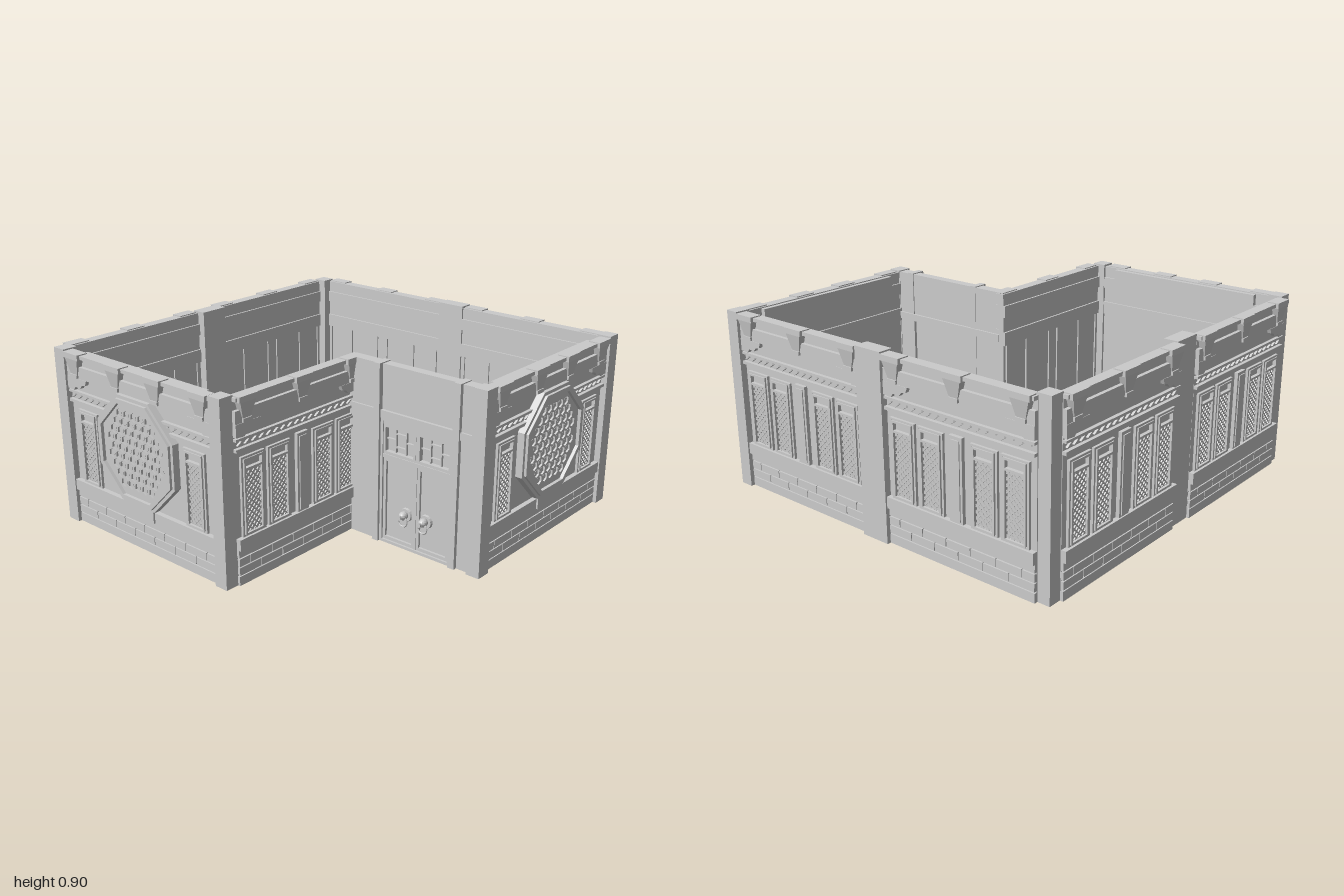
import * as THREE from 'three';
import { mergeGeometries } from 'three/addons/utils/BufferGeometryUtils.js';

const mat = new THREE.MeshStandardMaterial({ color: 0xcccccc, flatShading: true });

// Box geometry from min/max extents
function bg(x0, x1, y0, y1, z0, z1) {
  return new THREE.BoxGeometry(x1 - x0, y1 - y0, z1 - z0)
    .translate((x0 + x1) / 2, (y0 + y1) / 2, (z0 + z1) / 2);
}

// Merge several geometries into one named mesh
function part(parent, name, geos) {
  const plain = geos.map(g => (g.index ? g.toNonIndexed() : g));
  const mesh = new THREE.Mesh(mergeGeometries(plain), mat);
  mesh.name = name;
  parent.add(mesh);
  return mesh;
}

// Points of a regular polygon given its corner radius
function polygon(n, r, turn, cx = 0, cy = 0) {
  return Array.from({ length: n }, (_, i) => {
    const a = turn + (i / n) * Math.PI * 2;
    return new THREE.Vector2(cx + r * Math.cos(a), cy + r * Math.sin(a));
  });
}
const octagon = apothem => polygon(8, apothem / Math.cos(Math.PI / 8), Math.PI / 8);

function plate(points, holes, z0, z1) {
  const s = new THREE.Shape(points);
  s.holes = holes.map(h => new THREE.Path(h));
  return new THREE.ExtrudeGeometry(s, { depth: z1 - z0, bevelEnabled: false }).translate(0, 0, z0);
}

// Four bars around a rectangle
function frame(x0, x1, y0, y1, t, z0, z1) {
  return [bg(x0, x0 + t, y0, y1, z0, z1), bg(x1 - t, x1, y0, y1, z0, z1),
    bg(x0 + t, x1 - t, y0, y0 + t, z0, z1), bg(x0 + t, x1 - t, y1 - t, y1, z0, z1)];
}

// Crossed diagonal bars clipped to a rectangle of half sizes a, b
function lattice(cx, cy, a, b, z) {
  const out = [];
  for (let c = -a - b + 0.015; c < a + b; c += 0.028) {
    const lo = Math.max(-a, -b - c), hi = Math.min(a, b - c);
    if (hi - lo < 0.004) continue;
    for (const s of [1, -1]) {
      const m = (lo + hi) / 2;
      out.push(new THREE.BoxGeometry((hi - lo) * Math.SQRT2, 0.006, 0.006)
        .rotateZ(s * Math.PI / 4).translate(cx + s * m, cy + m + c, z));
    }
  }
  return out;
}

function latticeWindow(g, u, w) {
  const a = w / 2;
  part(g, 'windowFrame', [
    ...frame(u - a, u + a, 0.23, 0.61, 0.01, 0.03, 0.045),
    ...frame(u - a + 0.014, u + a - 0.014, 0.235, 0.6, 0.01, 0.03, 0.05),
    bg(u - a + 0.014, u + a - 0.014, 0.545, 0.555, 0.03, 0.05)]);
  part(g, 'windowLattice', lattice(u, 0.395, a - 0.024, 0.15, 0.037));
}

// Eave bracket: flared block with a cap
function bracket(g, u) {
  const flare = new THREE.CylinderGeometry(0.046, 0.022, 0.085, 4, 1)
    .rotateY(Math.PI / 4).scale(1.5, 1, 0.8).translate(u, 0.83, 0.042);
  part(g, 'eaveBracket', [bg(u - 0.055, u + 0.055, 0.868, 0.895, 0.01, 0.07), flare,
    bg(u - 0.026, u + 0.026, 0.772, 0.79, 0.02, 0.06)]);
}

// Carved corner piece under the upper beam
function spandrel(side, h) {
  const pts = [[0, 0.77], [0, 0.71], [0.05, 0.706], [0.065, 0.725], [0.1, 0.722], [0.115, 0.74], [0.14, 0.745], [0.15, 0.77]]
    .map(([x, y]) => new THREE.Vector2(side * (x - h), y));
  return plate(pts, [], 0.03, 0.052);
}

// Wall shared by all sides: local +z is outward, inner face at z = 0
function wall(root, name, len, x, z, turn, brackets) {
  const g = new THREE.Group(), h = len / 2;
  g.name = name;
  g.position.set(x, 0, z);
  g.rotation.y = turn;
  root.add(g);
  part(g, 'wallPanel', [bg(-h, h, 0, 0.885, 0, 0.032)]);
  // Stone base with two courses of blocks, on both faces
  const base = [bg(-h, h, 0, 0.045, -0.012, 0.045), bg(-h, h, 0.137, 0.175, -0.012, 0.045)];
  const n = Math.round(len / 0.143), bw = len / n;
  for (let row = 0; row < 2; row++) {
    const y = 0.05 + row * 0.043;
    for (let i = 0; i < n + row; i++) {
      const a = Math.max(-h, -h + (i - row / 2) * bw), b = Math.min(h, -h + (i + 1 - row / 2) * bw);
      base.push(bg(a + 0.002, b - 0.002, y, y + 0.038, -0.012, 0.045));
    }
  }
  part(g, 'stoneBase', base);
  part(g, 'sill', [bg(-h, h, 0.175, 0.23, -0.008, 0.057)]);
  part(g, 'beams', [bg(-h, h, 0.64, 0.655, 0, 0.05), bg(-h, h, 0.69, 0.702, 0, 0.05),
    bg(-h, h, 0.77, 0.83, 0, 0.05), bg(-h, h, 0.872, 0.89, 0, 0.056)]);
  part(g, 'cornerCarvings', [spandrel(1, h), spandrel(-1, h)]);
  part(g, 'innerRails', [bg(-h, h, 0.62, 0.69, -0.01, 0), bg(-h, h, 0.77, 0.83, -0.01, 0)]);
  // Slanted slats of the frieze
  const slats = [];
  for (let u = -h + 0.03; u < h - 0.02; u += 0.045) {
    slats.push(new THREE.BoxGeometry(0.03, 0.007, 0.014).rotateZ(0.6).translate(u, 0.672, 0.036));
  }
  part(g, 'frieze', slats);
  brackets.forEach(u => bracket(g, u));
  return g;
}

function windowWall(root, len, x, z, turn) {
  const g = wall(root, 'latticeWall', len, x, z, turn, [-0.35, 0, 0.35]);
  for (const u of [-0.312, -0.148, 0.148, 0.312]) latticeWindow(g, u, 0.145);
  part(g, 'middlePost', [bg(-0.036, 0.036, 0.23, 0.62, 0.03, 0.05), bg(-0.024, 0.024, 0.24, 0.605, 0.05, 0.055)]);
  part(g, 'innerBattens', [-0.39, -0.23, -0.036, 0.036, 0.23, 0.39].map(u => bg(u - 0.008, u + 0.008, 0.23, 0.62, -0.008, 0)));
}

function octagonWall(root, len, x, z, turn) {
  const g = wall(root, 'octagonWindowWall', len, x, z, turn, [-0.44, -0.135, 0.142, 0.438]);
  for (const u of [-0.375, 0.375]) latticeWindow(g, u, 0.14);
  part(g, 'sillBlock', [bg(-0.1, 0.1, 0.178, 0.245, 0.03, 0.066)]);
  part(g, 'innerTopRail', [bg(-0.425, 0.425, 0.83, 0.885, -0.024, 0)]);
  // Honeycomb screen inside a stepped octagonal frame
  const holes = [], p = 0.05, apothem = 0.226;
  for (let r = -6; r <= 6; r++) {
    for (let c = -6; c <= 6; c++) {
      const hx = (c + (r & 1) / 2) * p, hy = r * p * 0.866;
      const reach = Math.max(Math.abs(hx), Math.abs(hy), (Math.abs(hx) + Math.abs(hy)) / Math.SQRT2);
      if (reach < apothem - 0.026) holes.push(polygon(6, 0.0235, Math.PI / 6, hx, hy));
    }
  }
  const win = new THREE.Group();
  win.name = 'octagonWindow';
  win.position.y = 0.503;
  g.add(win);
  part(win, 'backPlate', [plate(octagon(0.23), [], 0.03, 0.054)]);
  part(win, 'honeycomb', [plate(octagon(0.23), holes, 0.054, 0.064)]);
  part(win, 'honeycombStuds', holes.map(hex => {
    const cx = hex.reduce((s, v) => s + v.x, 0) / 6, cy = hex.reduce((s, v) => s + v.y, 0) / 6;
    return plate(polygon(6, 0.014, Math.PI / 6, cx, cy), [], 0.054, 0.06);
  }));
  part(win, 'octagonFrame', [plate(octagon(0.266), [octagon(0.244)], 0.03, 0.068),
    plate(octagon(0.25), [octagon(0.227)], 0.03, 0.081)]);
}

function doorWall(root) {
  const g = new THREE.Group();
  g.name = 'doorWall';
  root.add(g);
  part(g, 'doorWallPanels', [bg(0.19, 0.36, 0, 0.895, 0.088, 0.146), bg(0.835, 0.91, 0, 0.895, 0.088, 0.146),
    bg(0.385, 0.81, 0.64, 0.895, 0.09, 0.14)]);
  part(g, 'doorPosts', [bg(0.355, 0.39, 0, 0.9, 0.085, 0.165), bg(0.805, 0.84, 0, 0.9, 0.085, 0.165)]);
  part(g, 'doorBeam', [bg(0.195, 0.91, 0.637, 0.674, 0.078, 0.156)]);
  part(g, 'doorFrame', frame(0.39, 0.805, -0.01 + 0.01, 0.637, 0.014, 0.1, 0.152));
  part(g, 'transomRails', [bg(0.39, 0.805, 0.44, 0.458, 0.1, 0.15), bg(0.39, 0.805, 0.607, 0.625, 0.1, 0.15)]);
  for (const s of [-1, 1]) {
    const c = 0.5975 + s * 0.1, a = 0.096;
    part(g, 'doorLeaf', [bg(c - a, c + a, 0.012, 0.44, 0.1, 0.13), ...frame(c - a, c + a, 0.012, 0.44, 0.018, 0.125, 0.142)]);
    // Small window over each leaf
    const bars = [bg(c - a, c + a, 0.455, 0.61, 0.1, 0.122), ...frame(c - a, c + a, 0.458, 0.607, 0.014, 0.12, 0.146)];
    for (const k of [-1, 1]) {
      bars.push(bg(c + k * 0.03 - 0.003, c + k * 0.03 + 0.003, 0.472, 0.593, 0.12, 0.134),
        bg(c + k * 0.055 - 0.027, c + k * 0.055 + 0.027, 0.53, 0.536, 0.12, 0.134));
    }
    bars.push(bg(c - 0.03, c + 0.03, 0.563, 0.569, 0.12, 0.134), bg(c - 0.03, c + 0.03, 0.497, 0.503, 0.12, 0.134));
    part(g, 'transomWindow', bars);
    // Knocker: round plate, boss and hanging ring
    const kx = 0.5975 + s * 0.058;
    part(g, 'doorKnocker', [
      new THREE.CylinderGeometry(0.032, 0.034, 0.014, 16).rotateX(Math.PI / 2).translate(kx, 0.175, 0.137),
      new THREE.SphereGeometry(0.021, 12, 8).scale(1, 1, 1.3).translate(kx, 0.178, 0.158),
      new THREE.CylinderGeometry(0.012, 0.008, 0.02, 10).rotateX(Math.PI / 2).translate(kx, 0.178, 0.186),
      new THREE.TorusGeometry(0.025, 0.005, 6, 18).translate(kx, 0.15, 0.165)]);
  }
  part(g, 'doorJambs', [bg(0.592, 0.603, 0.012, 0.607, 0.1, 0.145)]);
}

export function createModel() {
  const root = new THREE.Group();
  root.name = 'courtyardHouseWalls';
  const Q = Math.PI / 2;

  // Corner and middle posts: x0, x1, z0, z1
  const posts = [[-0.953, -0.88, 0.907, 0.983], [0.125, 0.197, 0.907, 0.983], [-0.953, -0.88, -0.957, -0.883],
    [0.907, 0.977, -0.995, -0.92], [0.907, 0.977, 0.085, 0.163], [-0.955, -0.88, -0.068, 0.086], [-0.065, 0.088, -0.995, -0.92]];
  for (const [x0, x1, z0, z1] of posts) part(root, 'post', [bg(x0, x1, 0, 0.9, z0, z1)]);

  octagonWall(root, 1.01, -0.38, 0.92, 0);
  octagonWall(root, 1.015, 0.913, -0.418, Q);
  windowWall(root, 0.83, 0.165, 0.498, Q);
  windowWall(root, 0.83, -0.924, 0.498, -Q);
  windowWall(root, 0.83, -0.924, -0.475, -Q);
  windowWall(root, 0.83, -0.475, -0.93, 2 * Q);
  windowWall(root, 0.83, 0.497, -0.93, 2 * Q);
  doorWall(root);
  return root;
}
